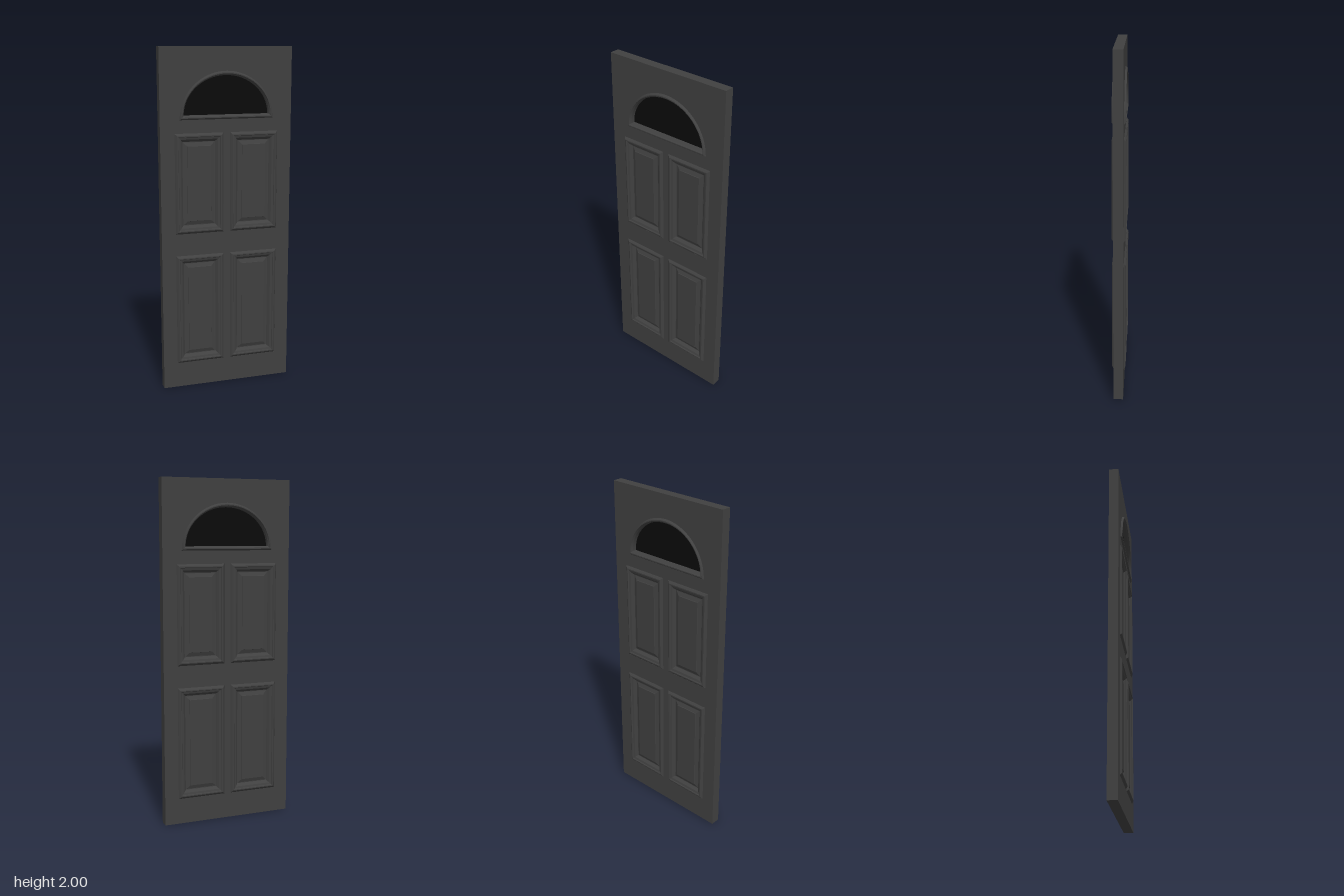
import * as THREE from 'three';
import { toCreasedNormals } from 'three/addons/utils/BufferGeometryUtils.js';

const HALF_W = 0.39, HEIGHT = 2, FACE = 0.028;
const STILE_X = 0.307, MULLION_X = 0.02;
const ROWS = [[0.15, 0.81], [0.94, 1.52]]; // bottom and top of each panel row

// Counter-clockwise outlines, shrunk by an inset
const rectOutline = (x0, x1, y0, y1) => (i) => [
  [x0 + i, y0 + i], [x1 - i, y0 + i], [x1 - i, y1 - i], [x0 + i, y1 - i],
];
const archOutline = (i) => {
  const points = [];
  for (let k = 0; k <= 40; k++) {
    const a = (k / 40) * Math.PI;
    points.push([(0.277 - i) * Math.cos(a), 1.595 + i + (0.27 - 2 * i) * Math.sin(a)]);
  }
  return points;
};

// Moulding surface: steps of [inset, z] following an outline, optionally closed in the middle
function moulding(outline, profile, closed) {
  const positions = [], index = [];
  const n = outline(0).length;
  for (const [inset, z] of profile) {
    for (const [x, y] of outline(inset)) positions.push(x, y, z);
  }
  for (let j = 0; j < profile.length - 1; j++) {
    for (let i = 0; i < n; i++) {
      const a = j * n + i, b = j * n + (i + 1) % n;
      index.push(a, b, b + n, a, b + n, a + n);
    }
  }
  if (closed) {
    const s = (profile.length - 1) * n;
    for (let i = 1; i < n - 1; i++) index.push(s, s + i, s + i + 1);
  }
  const geometry = new THREE.BufferGeometry();
  geometry.setAttribute('position', new THREE.Float32BufferAttribute(positions, 3));
  geometry.setIndex(index);
  return toCreasedNormals(geometry, 0.3);
}

const PANEL_PROFILE = [
  [0, 0.027], [0.003, 0.031], [0.013, 0.039], [0.019, 0.039], [0.022, 0.034],
  [0.034, 0.03], [0.044, 0.02], [0.048, 0.015], [0.052, 0.015],
  [0.073, 0.023], [0.074, 0.026],
];
const ARCH_PROFILE = [
  [0, 0.027], [0.003, 0.032], [0.009, 0.039], [0.015, 0.039], [0.018, 0.034],
  [0.024, 0.028], [0.025, 0.004],
];

export function createModel() {
  const door = new THREE.Group();
  door.name = 'door';
  const paint = new THREE.MeshStandardMaterial({ color: 0x404040 });
  const dark = new THREE.MeshStandardMaterial({ color: 0x0a0a0a });

  const add = (name, geometry, material = paint, parent = door) => {
    const mesh = new THREE.Mesh(geometry, material);
    mesh.name = name;
    parent.add(mesh);
    return mesh;
  };
  const board = (name, x0, x1, y0, y1) => {
    add(name, new THREE.BoxGeometry(x1 - x0, y1 - y0, 2 * FACE))
      .position.set((x0 + x1) / 2, (y0 + y1) / 2, 0);
  };

  // Frame boards
  board('leftStile', STILE_X, HALF_W, 0, HEIGHT);
  board('rightStile', -HALF_W, -STILE_X, 0, HEIGHT);
  board('bottomRail', -STILE_X, STILE_X, 0, ROWS[0][0]);
  board('lockRail', -STILE_X, STILE_X, ROWS[0][1], ROWS[1][0]);
  ROWS.forEach(([y0, y1], r) =>
    board(r ? 'upperMullion' : 'lowerMullion', -MULLION_X, MULLION_X, y0, y1));

  // Top rail with the arched window opening
  const toVectors = (pts) => pts.map(([x, y]) => new THREE.Vector2(x, y));
  const rail = new THREE.Shape(toVectors(rectOutline(-STILE_X, STILE_X, ROWS[1][1], HEIGHT)(0)));
  rail.holes.push(new THREE.Path(toVectors(archOutline(0.01))));
  const railGeometry = new THREE.ExtrudeGeometry(rail, { depth: 2 * FACE, bevelEnabled: false });
  railGeometry.translate(0, 0, -FACE);
  add('topRail', railGeometry);

  // Window pane
  const pane = new THREE.Shape(toVectors(archOutline(0.02)));
  const paneGeometry = new THREE.ExtrudeGeometry(pane, { depth: 0.01, bevelEnabled: false });
  paneGeometry.translate(0, 0, -0.005);
  add('windowPane', paneGeometry, dark);

  // Raised panels and window trim, the same on both faces
  for (const side of ['front', 'back']) {
    const face = new THREE.Group();
    face.name = side + 'Mouldings';
    if (side === 'back') face.rotation.y = Math.PI;
    for (const [y0, y1] of ROWS) {
      for (const [x0, x1] of [[-STILE_X, -MULLION_X], [MULLION_X, STILE_X]]) {
        add('raisedPanel', moulding(rectOutline(x0, x1, y0, y1), PANEL_PROFILE, true), paint, face);
      }
    }
    add('windowTrim', moulding(archOutline, ARCH_PROFILE, false), paint, face);
    door.add(face);
  }
  return door;
}
